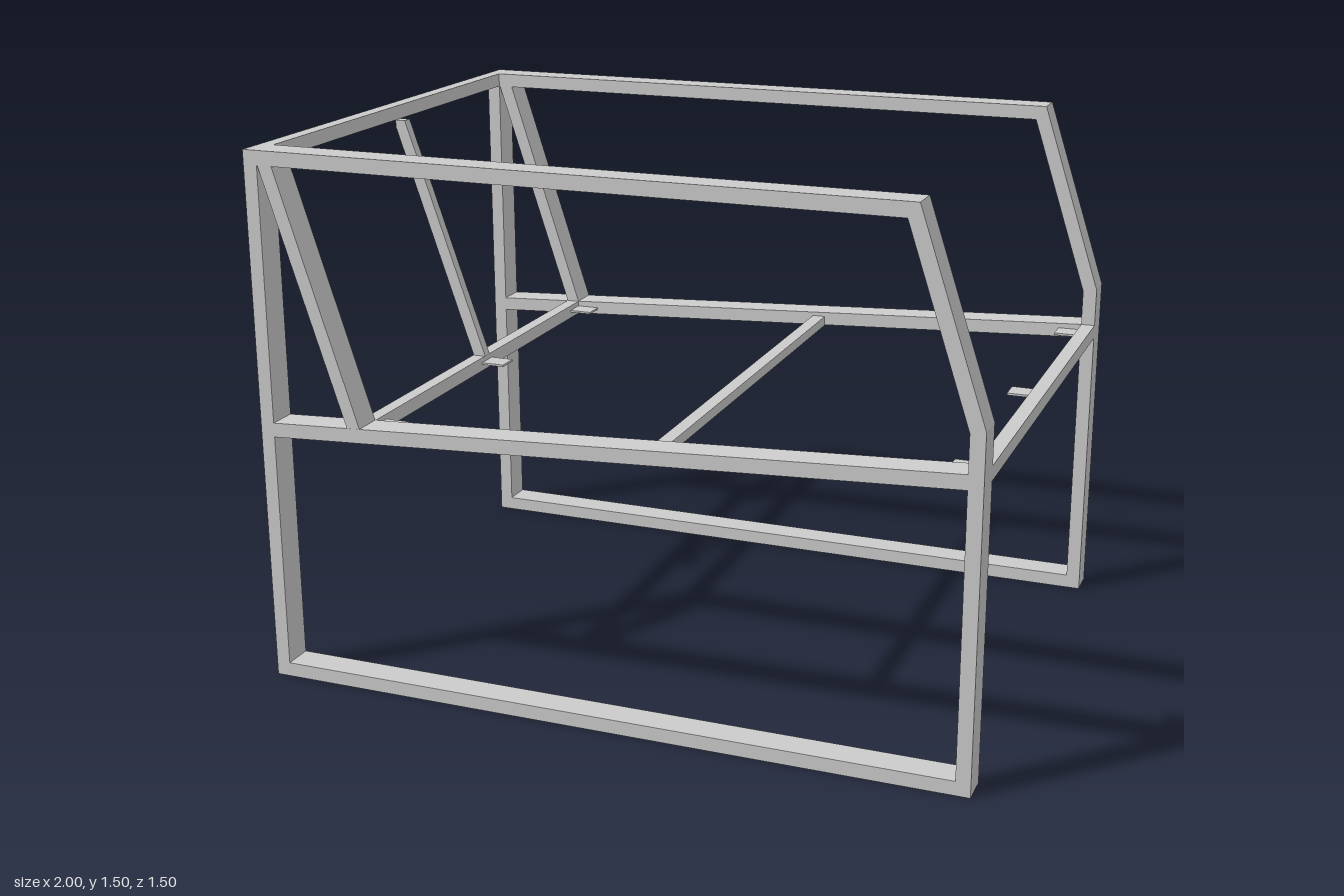
import * as THREE from 'three';

const INNER = 0.665, OUTER = 0.75;

export function createModel() {
  const root = new THREE.Group();
  root.name = 'benchFrame';
  const material = new THREE.MeshStandardMaterial({ color: 0xcccccc, flatShading: true });

  const add = (name, geometry, parent) => {
    const mesh = new THREE.Mesh(geometry, material);
    mesh.name = name;
    parent.add(mesh);
    return mesh;
  };

  // Profile in the x-y plane, extruded from z0 to z1
  const plate = (name, points, z0, z1, parent, hole) => {
    const toVectors = (list) => list.map(([x, y]) => new THREE.Vector2(x, y));
    const shape = new THREE.Shape(toVectors(points));
    if (hole) shape.holes.push(new THREE.Path(toVectors(hole)));
    const geometry = new THREE.ExtrudeGeometry(shape, { depth: z1 - z0, bevelEnabled: false });
    geometry.translate(0, 0, z0);
    return add(name, geometry, parent);
  };

  // Box given by its extents
  const bar = (name, x0, x1, y0, y1, z0, z1) => {
    const geometry = new THREE.BoxGeometry(x1 - x0, y1 - y0, z1 - z0);
    geometry.translate((x0 + x1) / 2, (y0 + y1) / 2, (z0 + z1) / 2);
    return add(name, geometry, root);
  };

  // Side frames with sloping seat rail and back support
  for (const [side, z0, z1] of [['front', INNER, OUTER], ['rear', -OUTER, -INNER]]) {
    const frame = new THREE.Group();
    frame.name = side + 'SideFrame';
    root.add(frame);
    plate('sideLoop',
      [[-1, 0], [1, 0], [1, 0.962], [0.822, 1.5], [-1, 1.5]], z0, z1, frame,
      [[-0.96, 0.04], [-0.96, 1.46], [0.793, 1.46], [0.96, 0.955], [0.96, 0.04]]);
    plate('seatRail',
      [[-0.96, 0.712], [0.96, 0.812], [0.96, 0.852], [-0.96, 0.752]], z0, z1, frame);
    plate('backSupport',
      [[-0.732, 0.764], [-0.694, 0.766], [-0.916, 1.46], [-0.958, 1.46]], z0, z1, frame);
  }

  // Cross bars between the side frames
  bar('topBackBar', -1, -0.96, 1.46, 1.5, -INNER, INNER);
  bar('seatFrontBar', 0.96, 1, 0.812, 0.852, -INNER, INNER);
  bar('seatMiddleBar', 0.117, 0.155, 0.768, 0.797, -INNER, INNER);
  bar('seatBackBar', -0.732, -0.694, 0.725, 0.765, -INNER, INNER);

  // Centre brace of the backrest
  plate('centreBackBrace',
    [[-0.73, 0.765], [-0.692, 0.765], [-0.93, 1.46], [-0.96, 1.46], [-0.96, 1.44]],
    -0.015, 0.015, root);

  // Thin mounting tabs on the front and back seat bars
  for (const z of [-0.635, 0, 0.635]) {
    bar('backTab', -0.694, -0.625, 0.744, 0.75, z - 0.032, z + 0.032);
    bar('frontTab', 0.892, 0.96, 0.829, 0.835, z - 0.032, z + 0.032);
  }

  return root;
}
